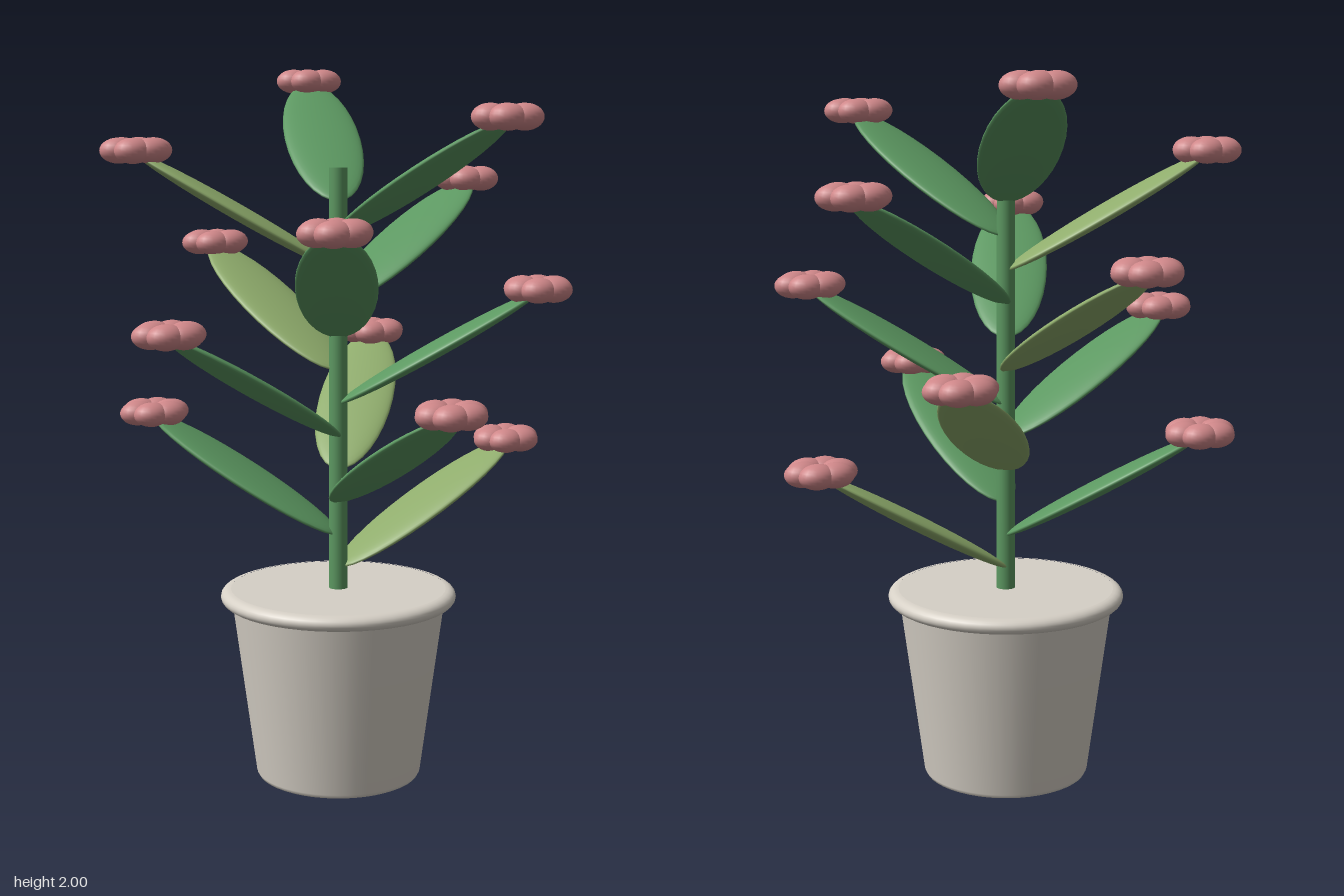
import * as THREE from 'three';

export function createModel() {
  const model = new THREE.Group();
  model.name = 'pottedPlant';

  const mat = (name, color) => {
    const m = new THREE.MeshStandardMaterial({ color });
    m.name = name;
    return m;
  };
  const potMat = mat('stoneGrey', 0xd6d0c6);
  const greenMat = mat('leafGreen', 0x5c9861);
  const oliveMat = mat('leafOlive', 0x8fac6c);
  const pinkMat = mat('petalPink', 0xcf8789);

  // The whole plant sits slightly off the origin
  const plant = new THREE.Group();
  plant.name = 'plant';
  plant.position.set(-0.01, 0, -0.008);
  model.add(plant);

  const add = (parent, name, geometry, material) => {
    const mesh = new THREE.Mesh(geometry, material);
    mesh.name = name;
    parent.add(mesh);
    return mesh;
  };
  const lathe = (points) =>
    new THREE.LatheGeometry(points.map(([x, y]) => new THREE.Vector2(x, y)), 48);

  // Pot: underside, tapered wall, rolled rim and flat fill
  add(plant, 'potBase', new THREE.CircleGeometry(0.222, 48).rotateX(Math.PI / 2), potMat);
  add(plant, 'potWall', lathe([[0.222, 0], [0.23, 0.004], [0.235, 0.014], [0.302, 0.515]]), potMat);
  const rim = [];
  for (let i = 0; i <= 12; i++) {
    const a = -Math.PI / 2 + (Math.PI * i) / 12;
    rim.push([0.305 + 0.029 * Math.cos(a), 0.527 + 0.022 * Math.sin(a)]);
  }
  add(plant, 'potRim', lathe([[0.295, 0.505], ...rim]), potMat);
  add(plant, 'potFill', new THREE.CircleGeometry(0.306, 48).rotateX(-Math.PI / 2).translate(0, 0.548, 0), potMat);

  // Stem
  const stem = add(plant, 'stem', new THREE.CylinderGeometry(0.025, 0.027, 1.19, 20), greenMat);
  stem.position.y = 1.137;

  // Twelve flat leaves spiral up the stem, each carrying a six-petalled flower
  const leafGeo = new THREE.SphereGeometry(1, 32, 20).scale(0.318, 0.022, 0.11);
  const petalGeo = new THREE.SphereGeometry(1, 20, 14).scale(0.053, 0.035, 0.043);
  const golden = THREE.MathUtils.degToRad(137.5);
  for (let i = 0; i < 12; i++) {
    const angle = i * golden;
    const rise = i * 0.0938;

    const branch = new THREE.Group();
    branch.name = 'leafBranch';
    branch.position.y = 0.768 + rise;
    branch.rotation.y = angle;
    plant.add(branch);
    const leaf = add(branch, 'leaf', leafGeo, i % 3 === 0 ? oliveMat : greenMat);
    leaf.position.x = 0.277;
    leaf.rotation.z = Math.PI / 6;

    const flower = new THREE.Group();
    flower.name = 'flower';
    flower.position.set(0.55 * Math.cos(angle), 0.935 + rise, -0.55 * Math.sin(angle));
    plant.add(flower);
    for (let p = 0; p < 6; p++) {
      const a = (p * Math.PI) / 3;
      add(flower, 'petal', petalGeo, pinkMat).position.set(0.05 * Math.cos(a), 0, 0.05 * Math.sin(a));
    }
  }

  return model;
}
